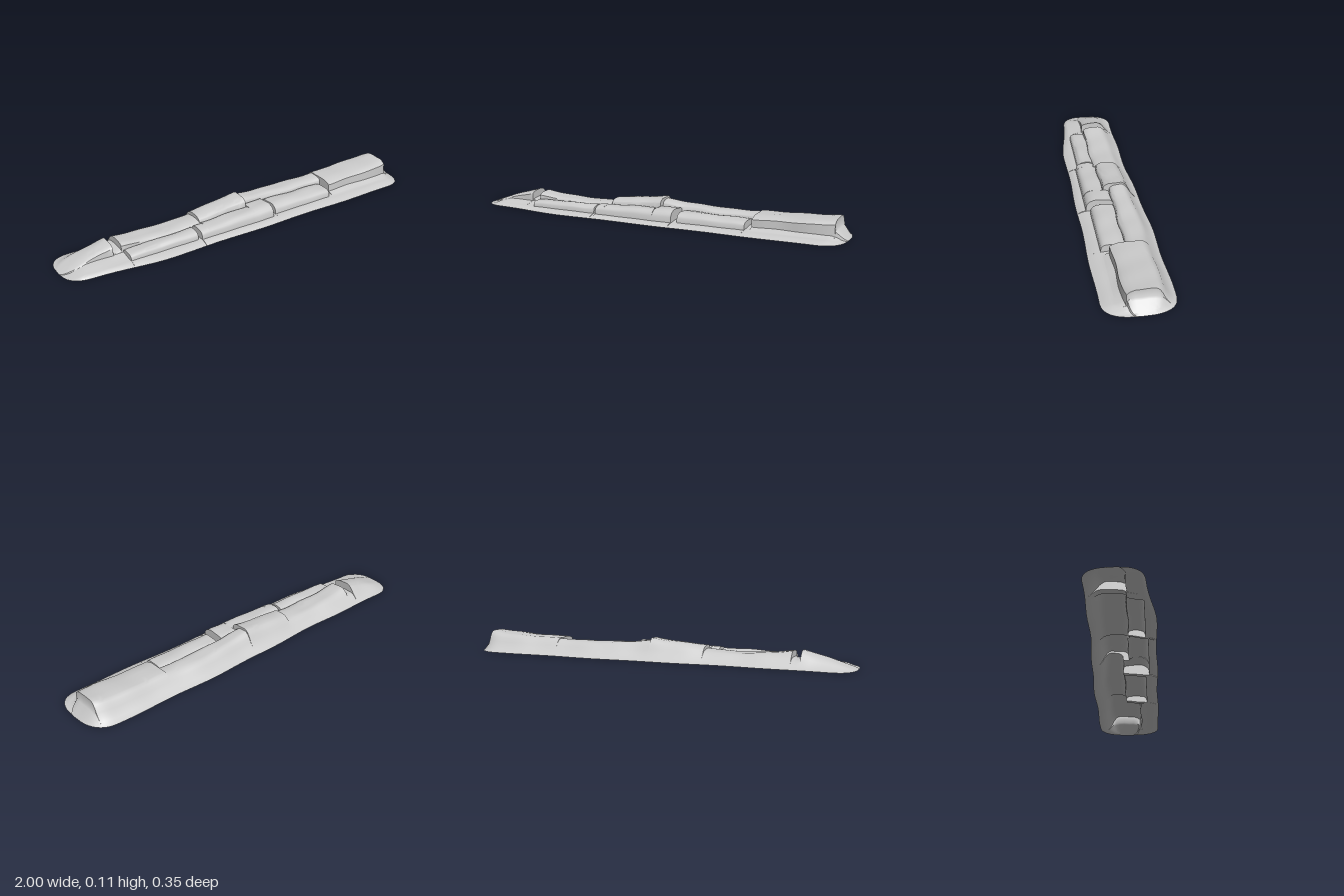
import * as THREE from 'three';
import { toCreasedNormals } from 'three/addons/utils/BufferGeometryUtils.js';

// Upper row of stones: [x start, x end, height at start, middle, end, front z]
const UPPER = [
  [-1.0, -0.735, 0.0, 0.045, 0.082, 0.035],
  [-0.735, -0.69, 0.042, 0.04, 0.045, 0.03],
  [-0.69, -0.25, 0.076, 0.056, 0.062, 0.03],
  [-0.25, 0.03, 0.08, 0.091, 0.105, 0.02],
  [0.03, 0.54, 0.094, 0.075, 0.076, -0.012],
  [0.54, 0.945, 0.081, 0.086, 0.1, 0.065],
  [0.945, 1.0, 0.06, 0.028, 0.0, 0.06],
];
// Lower row of stones: same columns
const LOWER = [
  [-0.68, -0.31, 0.045, 0.052, 0.054, 0.112],
  [-0.295, 0.135, 0.058, 0.066, 0.074, 0.124],
  [0.16, 0.515, 0.062, 0.06, 0.056, 0.105],
];
// Rising back slope: [fraction across, fraction of height]
const SLOPE = [[0, 0], [0.12, 0.08], [0.27, 0.24], [0.42, 0.45], [0.55, 0.64],
  [0.66, 0.81], [0.78, 0.92], [0.9, 0.98], [1, 1]];

const lerp = THREE.MathUtils.lerp;
const smooth = THREE.MathUtils.smoothstep;
const lump = (x, z) => Math.sin(x * 23 + z * 31) * Math.sin(x * 11 - z * 47 + 1);

// Quadratic through the start, middle and end heights
function stoneHeight([x0, x1, a, m, b], x) {
  const t = (x - x0) / (x1 - x0);
  return a * (1 - t) * (1 - 2 * t) + 4 * m * t * (1 - t) + b * t * (2 * t - 1);
}
const find = (row, x) => row.find((s) => x >= s[0] && x < s[1]);

// One cross-section from the back rim, over both rows, to the front rim;
// "probe" sits just to one side of x so that joints become sharp steps
function crossSection(x, probe) {
  const upper = find(UPPER, probe), lower = find(LOWER, probe);
  const H = stoneHeight(upper, x);
  const end = Math.min(1, (1 - Math.abs(x)) / 0.07);
  const t = Math.max(0, (Math.abs(x) - 0.87) / 0.13);
  const round = Math.pow(Math.max(0, 1 - t ** 2.6), 1 / 2.6);
  const base = Math.min(0.07, Math.max(0, (x + 1) * 0.3), Math.max(0, (1 - x) * 1.2));
  const back = lerp(-0.148, -0.176, smooth(x, -0.5, 0.35)) + 0.003 * Math.sin(x * 14);
  const front = lerp(0.122, 0.166, smooth(x, -0.95, -0.5)) + 0.003 * Math.sin(x * 12 + 1);
  const zu = upper[5] + 0.003 * Math.sin(x * 25);
  const crest = back + 0.095;
  const pts = [];

  // back slope and rounded top of the upper stone
  for (const [f, g] of SLOPE) pts.push([lerp(back, crest, f), g * lerp(base, H, g * g)]);
  for (const f of [0.25, 0.5, 0.72, 0.88, 0.96, 1]) {
    pts.push([lerp(crest, zu, f), H * (1 - 0.2 * f ** 6)]);
  }

  // lower stone, or the bare ledge in a gap
  const floor = Math.min(0.028, H * 0.7) * end;
  const toe = Math.min(0.016, H * 0.5) * end;
  const zl = lower ? lower[5] : Math.max(0.1, zu + 0.02);
  const N = 12;
  for (let i = 0; i <= N; i++) {
    const f = i / N;
    let z = lerp(zu + 0.002, zl, f), y = lerp(floor, toe, f);
    if (lower) {
      const a = Math.PI * (1 - f), top = stoneHeight(lower, x);
      z = lerp(zu + 0.002, zl, 0.5 + 0.5 * Math.cos(a));
      y = lerp(lerp(top * 0.72, toe, smooth(f, 0.3, 1)), top, Math.sin(a) ** 0.6);
    }
    pts.push([z, y]);
  }

  // thin sloping apron
  for (const f of [0.25, 0.5, 0.75, 1]) {
    pts.push([lerp(zl, front, f), toe * (1 - f ** 2)]);
  }
  return pts.map(([z, y]) => [x, Math.max(0, y + Math.min(1, y / 0.04) * 0.0022 * lump(x, z)), z * round]);
}

// Stations along x, doubled wherever a stone begins or ends
function sections() {
  const breaks = [...UPPER, ...LOWER].flatMap((s) => [s[0], s[1]]);
  const xs = [...new Set([...breaks, -0.985, -0.96, 0.975, 0.99])].sort((a, b) => a - b);
  const result = [];
  for (let i = 0; i < xs.length - 1; i++) {
    const a = xs[i], b = xs[i + 1];
    const n = Math.max(Math.abs(a) > 0.9 ? 4 : 1, Math.ceil((b - a) / 0.016));
    for (let j = 0; j <= n; j++) {
      const x = lerp(a, b, j / n);
      result.push(crossSection(x, THREE.MathUtils.clamp(x, a + 1e-5, b - 1e-5)));
    }
  }
  return result;
}

function loft(rings) {
  const n = rings[0].length, index = [];
  for (let i = 0; i < rings.length - 1; i++) {
    for (let k = 0; k < n - 1; k++) {
      const a = i * n + k, b = a + n;
      index.push(a, a + 1, b, b, a + 1, b + 1);
    }
  }
  const geometry = new THREE.BufferGeometry();
  geometry.setAttribute('position', new THREE.Float32BufferAttribute(rings.flat(2), 3));
  geometry.setIndex(index);
  return toCreasedNormals(geometry, 0.75);
}

export function createModel() {
  const group = new THREE.Group();
  group.name = 'stoneLedge';
  // open shell, hollow underneath
  const material = new THREE.MeshStandardMaterial({ color: 0xcccccc, side: THREE.DoubleSide });
  const shell = new THREE.Mesh(loft(sections()), material);
  shell.name = 'steppedStoneBank';
  group.add(shell);
  return group;
}
